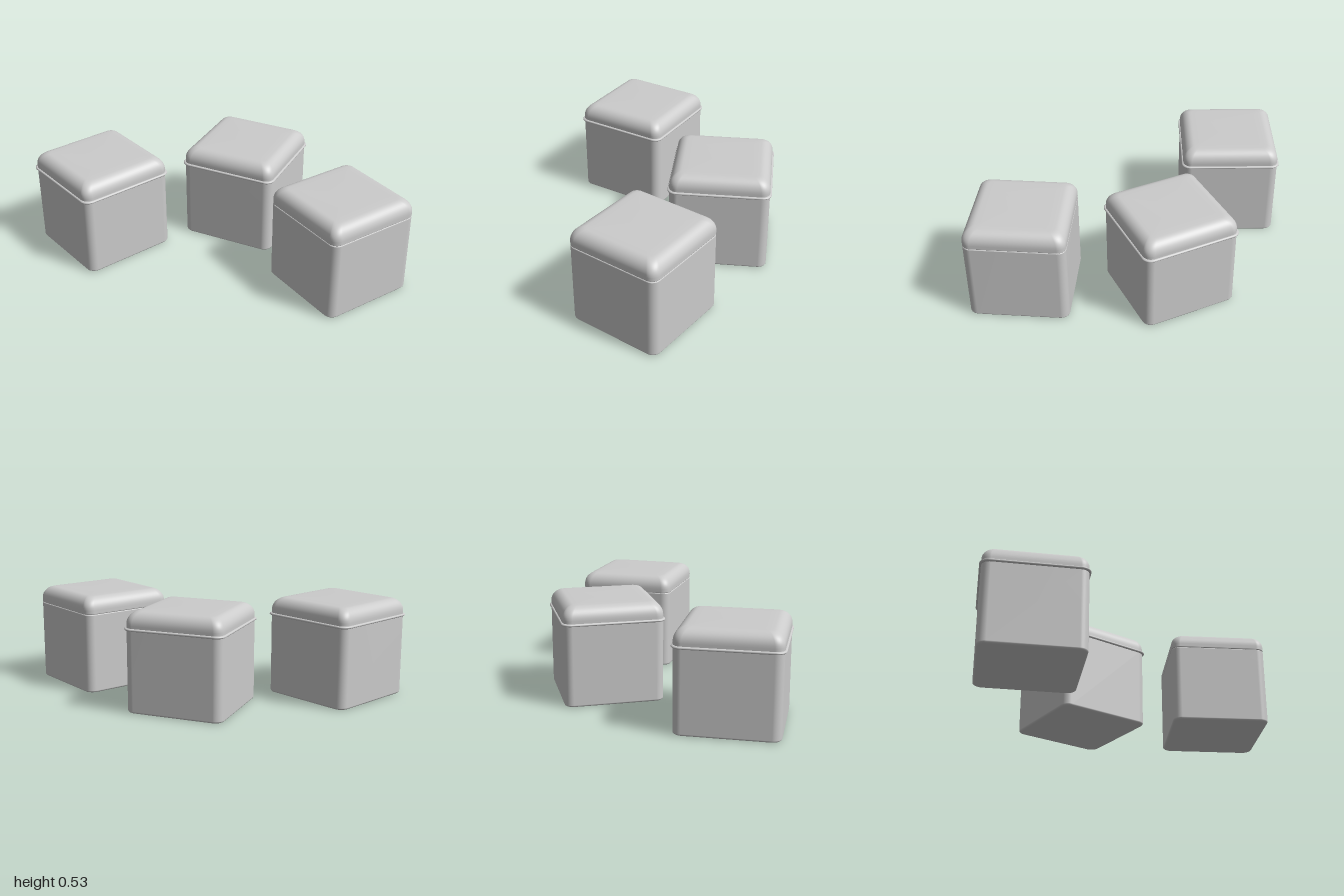
import * as THREE from 'three';

const HALF = 0.262, CORNER = 0.045, SEAM = 0.437, TOP = 0.53;

// Stack rounded-square sections, given bottom to top as [inset, y], and cap both ends
function loft(profile) {
  const positions = [], index = [], seg = 8, n = 4 * (seg + 1);
  for (const [inset, y] of profile) {
    const r = Math.max(CORNER - inset * 0.3, 0.01);
    const c = HALF - inset - r;
    for (let q = 0; q < 4; q++) {
      const mid = Math.PI / 4 + q * Math.PI / 2;
      for (let i = 0; i <= seg; i++) {
        const a = (q + i / seg) * Math.PI / 2;
        positions.push(Math.sign(Math.cos(mid)) * c + r * Math.cos(a), y,
          Math.sign(Math.sin(mid)) * c + r * Math.sin(a));
      }
    }
  }
  const last = profile.length - 1, low = n * profile.length, high = low + 1;
  positions.push(0, profile[0][1], 0, 0, profile[last][1], 0);
  for (let i = 0; i < n; i++) {
    const j = (i + 1) % n;
    for (let k = 0; k < last; k++) {
      const a = k * n + i, b = k * n + j;
      index.push(a, a + n, b, b, a + n, b + n);
    }
    index.push(low, i, j, high, last * n + j, last * n + i);
  }
  const g = new THREE.BufferGeometry();
  g.setAttribute('position', new THREE.Float32BufferAttribute(positions, 3));
  g.setIndex(index);
  g.computeVertexNormals();
  return g;
}

// Elliptic arc of profile points around (inset, y)
function arc(inset, y, rx, ry, from, to, steps) {
  return Array.from({ length: steps + 1 }, (_, i) => {
    const a = from + (to - from) * i / steps;
    return [inset - rx * Math.cos(a), y + ry * Math.sin(a)];
  });
}

export function createModel() {
  const material = new THREE.MeshStandardMaterial({ color: 0xcccccc });
  const q = Math.PI / 2;

  // Body with eased bottom edge and a shallow groove under the lid
  const body = loft([...arc(0.016, 0.012, 0.016, 0.012, -q, 0, 5),
    [0, SEAM - 0.006], ...arc(0.004, SEAM - 0.006, 0.004, 0.004, 0, q, 3)]);
  // Lid with a softly rounded shoulder
  const lid = loft([...arc(0.004, SEAM + 0.003, 0.004, 0.004, -q, 0, 3),
    [0, 0.458], ...arc(0.062, 0.462, 0.062, TOP - 0.464, 0, q, 12), [0.1, TOP]]);
  // Dark core that fills the groove, and the bead around the lid edge
  const core = loft([[0.004, SEAM - 0.01], [0.004, SEAM + 0.01]]);
  const bead = loft(arc(0, SEAM, 0.009, 0.007, -q, q, 8));

  const boxes = [
    { name: 'rightBox', x: -0.664, z: 0.222, angle: -25, beaded: true },
    { name: 'middleBox', x: -0.032, z: -0.295, angle: 0, beaded: true },
    { name: 'leftBox', x: 0.658, z: 0.034, angle: -30, beaded: false },
  ];
  const model = new THREE.Group();
  model.name = 'liddedBoxes';
  for (const { name, x, z, angle, beaded } of boxes) {
    const box = new THREE.Group();
    box.name = name;
    const parts = { body, lid, seam: core };
    if (beaded) parts.lidBead = bead;
    for (const [part, geometry] of Object.entries(parts)) {
      const mesh = new THREE.Mesh(geometry, material);
      mesh.name = part;
      box.add(mesh);
    }
    box.position.set(x, 0, z);
    box.rotation.y = THREE.MathUtils.degToRad(angle);
    model.add(box);
  }
  return model;
}
